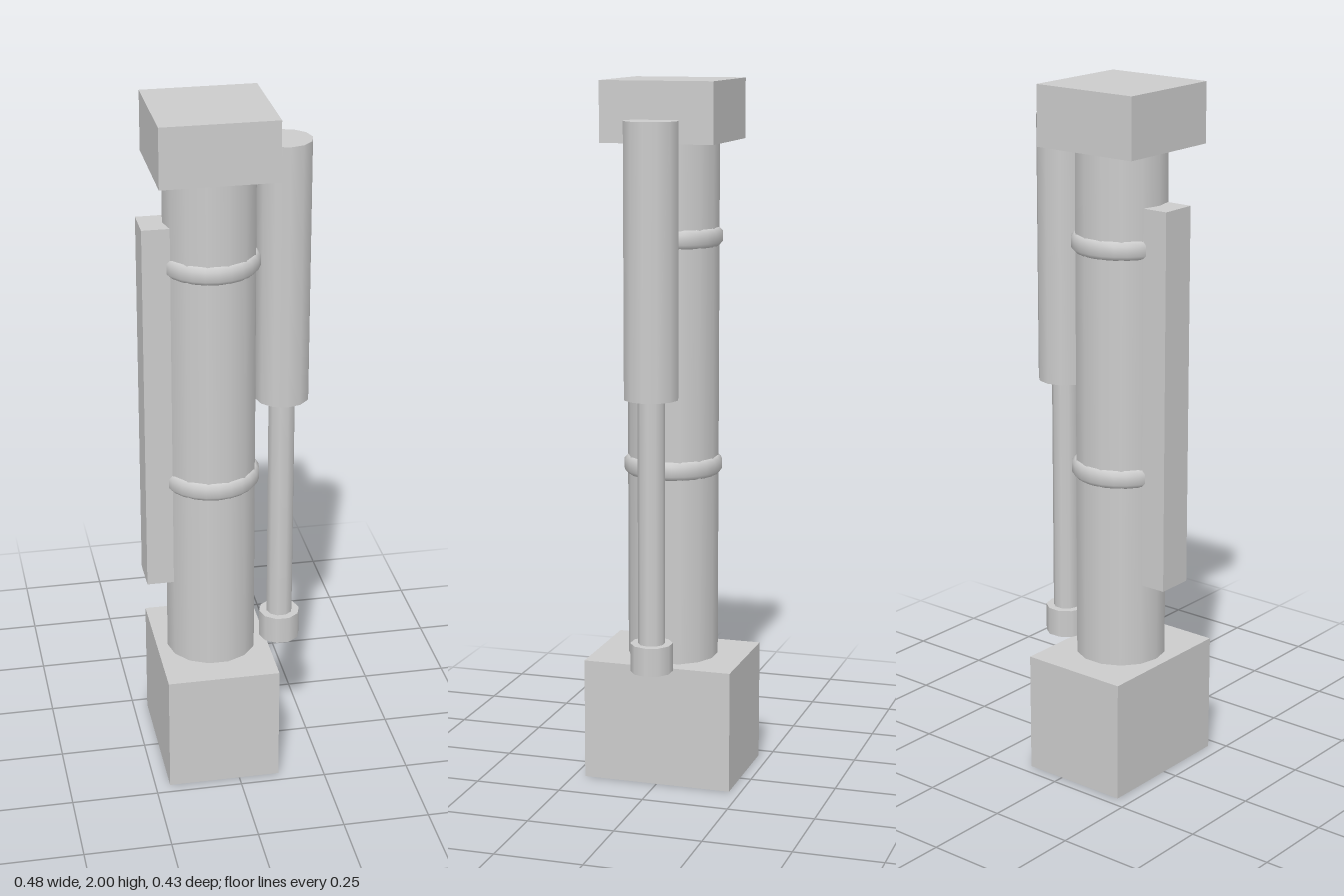
import * as THREE from 'three';

export function createModel() {
  const model = new THREE.Group();
  const material = new THREE.MeshStandardMaterial({ color: 0xcccccc });
  const columnX = -0.045, pistonX = 0.161;

  const add = (name, geometry, x, y, z = 0) => {
    const mesh = new THREE.Mesh(geometry, material);
    mesh.name = name;
    mesh.position.set(x, y, z);
    model.add(mesh);
    return mesh;
  };
  const box = (name, x, y0, y1, width, depth) =>
    add(name, new THREE.BoxGeometry(width, y1 - y0, depth), x, (y0 + y1) / 2);
  // Upright cylinder with a corner of its outline on the x axis
  const cylinder = (name, x, y0, y1, radius, sides) => {
    const geometry = new THREE.CylinderGeometry(radius, radius, y1 - y0, sides);
    geometry.rotateY(Math.PI / 2);
    return add(name, geometry, x, (y0 + y1) / 2);
  };

  // End blocks and main column
  box('baseBlock', columnX, 0, 0.35, 0.325, 0.434);
  box('topBlock', columnX, 1.83, 2, 0.325, 0.326);
  cylinder('column', columnX, 0.34, 1.84, 0.13, 14);

  // Bevelled collars around the column
  const collarProfile = [
    [0.115, -0.026], [0.129, -0.026], [0.14, -0.014],
    [0.14, 0.014], [0.129, 0.026], [0.115, 0.026],
  ].map(([r, y]) => new THREE.Vector2(r, y));
  for (const [name, y] of [['lowerCollar', 0.913], ['upperCollar', 1.565]]) {
    add(name, new THREE.LatheGeometry(collarProfile, 24), columnX, y);
  }

  // Side rail
  box('sideRail', -0.2, 0.592, 1.68, 0.08, 0.108);

  // Side piston: housing, rod and foot
  cylinder('pistonHousing', pistonX, 1.133, 1.895, 0.077, 12);
  cylinder('pistonRod', pistonX, 0.4, 1.2, 0.038, 10);
  cylinder('pistonFoot', pistonX, 0.352, 0.434, 0.06, 10);

  return model;
}
